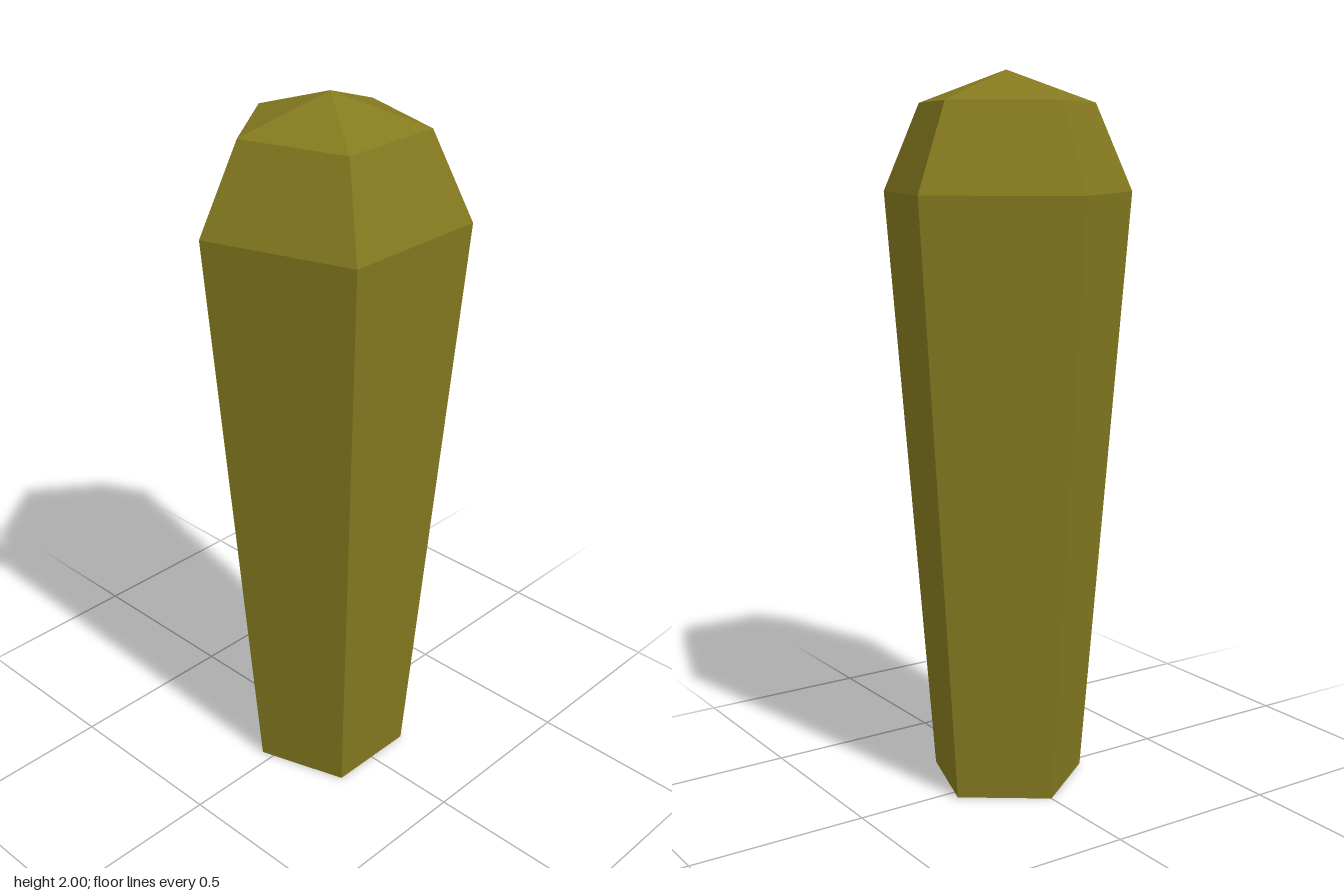
import * as THREE from 'three';

const SIDES = 5;

export function createModel() {
  const group = new THREE.Group();
  group.name = 'crystal';

  // Profile from base centre to tip: [circumradius, height]
  const profile = [
    [0, 0],
    [0.224, 0],
    [0.365, 1.675],
    [0.2555, 1.915],
    [0, 2],
  ].map(([r, y]) => new THREE.Vector2(r, y));

  // Five-sided tapered shaft with bevelled shoulder and shallow point; one corner faces the back
  const geometry = new THREE.LatheGeometry(profile, SIDES, Math.PI);
  const material = new THREE.MeshStandardMaterial({ color: 0x857a1f, flatShading: true });
  const shaft = new THREE.Mesh(geometry, material);
  shaft.name = 'crystalShaft';
  shaft.position.z = 0.0345; // centres the pentagon's bounds on z
  group.add(shaft);

  return group;
}
